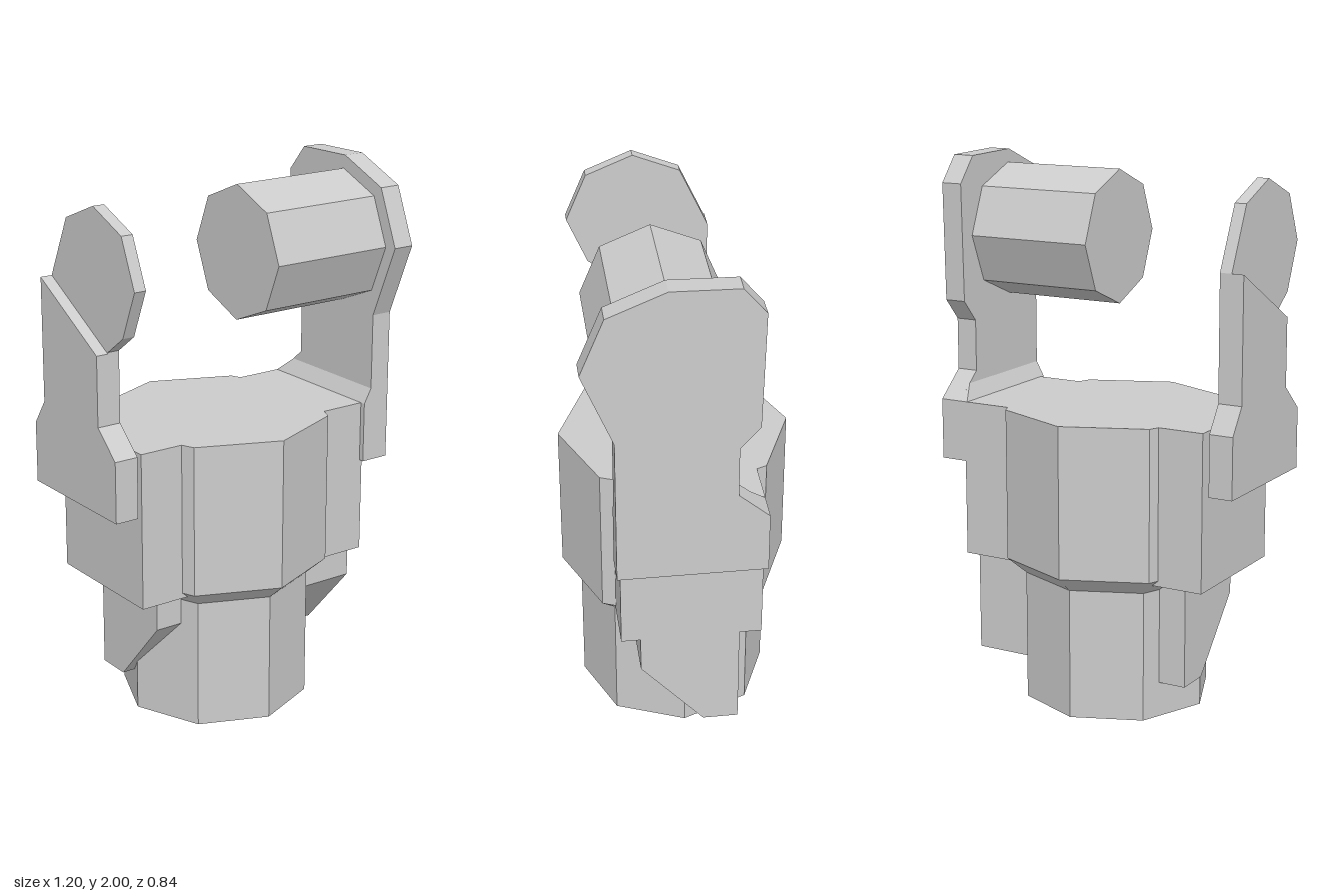
import * as THREE from 'three';

const material = new THREE.MeshStandardMaterial({ color: 0xcccccc, flatShading: true });

// Side profile given as [z, y] points, extruded along x from x0 to x1
function sideExtrude(points, x0, x1) {
  const shape = new THREE.Shape(points.map(([z, y]) => new THREE.Vector2(-z, y)));
  const geo = new THREE.ExtrudeGeometry(shape, { depth: x1 - x0, bevelEnabled: false });
  geo.rotateY(Math.PI / 2);
  geo.translate(x0, 0, 0);
  return geo;
}

// Upright octagonal section with corners on the axes
function octagon(rTop, rBottom, y0, y1) {
  const geo = new THREE.CylinderGeometry(rTop, rBottom, y1 - y0, 8);
  geo.translate(0, (y0 + y1) / 2, 0);
  return geo;
}

export function createModel() {
  const model = new THREE.Group();
  model.name = 'forkedJoint';
  const add = (name, geo, parent = model) => {
    const mesh = new THREE.Mesh(geo, material);
    mesh.name = name;
    parent.add(mesh);
    return mesh;
  };

  // Octagonal stem, flared collar and housing
  add('stem', octagon(0.35, 0.35, 0, 0.49));
  add('collar', octagon(0.42, 0.35, 0.485, 0.545));
  add('housing', octagon(0.42, 0.42, 0.545, 1.105));

  // Block through the housing
  const block = new THREE.BoxGeometry(0.985, 0.58, 0.51);
  block.translate(0.0075, 0.815, -0.005);
  add('crossBlock', block);

  // Slanted tabs either side of the stem
  add('lowerTabs', sideExtrude(
    [[0.18, 0.53], [0.18, 0.39], [-0.05, 0.13], [-0.18, 0.13], [-0.18, 0.53]], -0.38, 0.5));

  // Left arm: tall plate, inner foot and chamfer
  const leftArm = new THREE.Group();
  leftArm.name = 'leftArm';
  model.add(leftArm);
  add('leftPlate', sideExtrude([
    [0.27, 0.88], [0.27, 1.44], [0.38, 1.71], [0.295, 1.915], [0.09, 2], [-0.15, 1.995],
    [-0.23, 1.9], [-0.22, 1.47], [-0.15, 1.39], [-0.15, 1.2], [-0.26, 1.105], [-0.26, 0.88],
  ], 0.52, 0.6), leftArm);
  add('leftFoot', sideExtrude(
    [[0.27, 0.88], [0.27, 1.105], [-0.26, 1.105], [-0.26, 0.88]], 0.49, 0.52), leftArm);
  const chamfer = sideExtrude(
    [[0.27, 1.105], [0.27, 1.16], [-0.196, 1.16], [-0.26, 1.105]], 0.49, 0.52);
  const pos = chamfer.attributes.position;
  for (let i = 0; i < pos.count; i++) if (pos.getY(i) > 1.15) pos.setX(i, 0.52);
  add('leftChamfer', chamfer, leftArm);

  // Octagonal peg pointing inward from the left arm
  const peg = new THREE.CylinderGeometry(0.246, 0.246, 0.485, 8);
  peg.rotateZ(Math.PI / 2);
  peg.translate(0.2825, 1.705, 0.083);
  add('peg', peg, leftArm);

  // Right arm: inner layer with rounded head, shorter outer layer
  const rightArm = new THREE.Group();
  rightArm.name = 'rightArm';
  model.add(rightArm);
  const foot = [[-0.195, 1.2], [-0.26, 1.105], [-0.26, 0.88], [0.265, 0.88], [0.265, 1.105], [0.16, 1.2]];
  add('rightHead', sideExtrude([
    ...foot, [0.16, 1.46], [0.255, 1.53], [0.33, 1.705], [0.255, 1.88],
    [0.083, 1.95], [-0.09, 1.88], [-0.195, 1.655],
  ], -0.555, -0.51), rightArm);
  add('rightOuterPlate', sideExtrude(
    [...foot, [0.16, 1.455], [-0.195, 1.655]], -0.6, -0.555), rightArm);

  return model;
}
